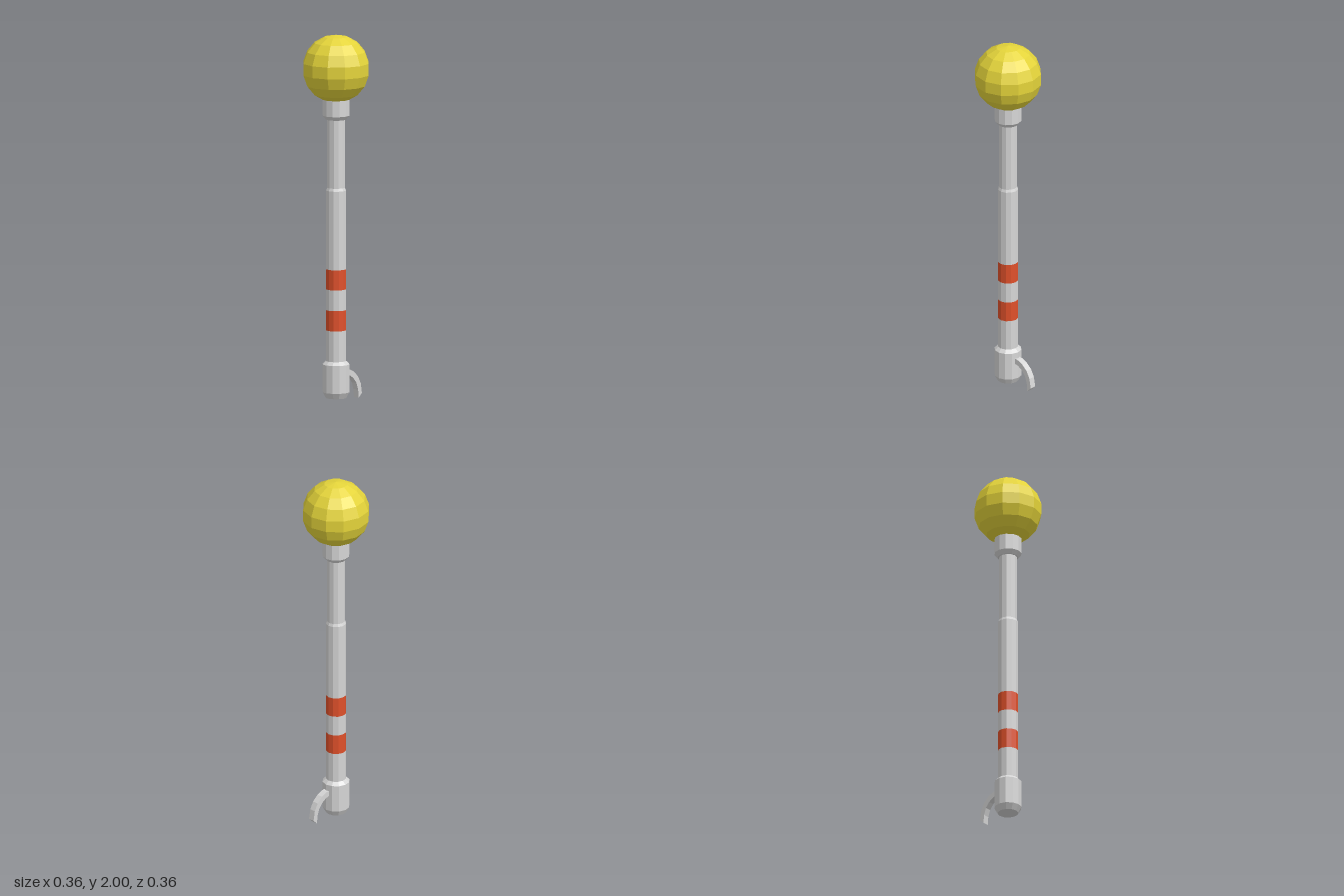
import * as THREE from 'three';

const SIDES = 12;

function paint(name, color) {
  const m = new THREE.MeshStandardMaterial({ color, flatShading: true });
  m.name = name;
  return m;
}

export function createModel() {
  const root = new THREE.Group();
  root.name = 'ballTopPole';
  const grey = paint('light grey', 0xd6d6d6);
  const orange = paint('orange red', 0xe0502a);
  const yellow = paint('yellow', 0xe4d43a);

  function add(name, geometry, material) {
    const mesh = new THREE.Mesh(geometry, material);
    mesh.name = name;
    root.add(mesh);
    return mesh;
  }

  // Twelve-sided turned part from [radius, height] pairs, bottom to top
  function turned(name, profile, material) {
    const points = profile.map(([r, y]) => new THREE.Vector2(r, y));
    return add(name, new THREE.LatheGeometry(points, SIDES), material);
  }

  // Foot with chamfered bottom and shoulder
  turned('foot', [[0, 0.016], [0.056, 0.016], [0.074, 0.048], [0.074, 0.2], [0.055, 0.218]], grey);

  // Lower tube, split into plain and painted bands
  const R = 0.055;
  const cuts = [0.21, 0.386, 0.497, 0.61, 0.72];
  for (let i = 0; i < cuts.length - 1; i++) {
    const painted = i % 2 === 1;
    turned(painted ? 'stripe' : 'lowerTube', [[R, cuts[i]], [R, cuts[i + 1]]], painted ? orange : grey);
  }

  // Upper tube with a small step to a thinner section
  turned('upperTube', [[R, 0.72], [R, 1.15], [0.049, 1.165], [0.049, 1.56]], grey);

  // Collar under the ball
  turned('collar', [[0.047, 1.538], [0.056, 1.538], [0.074, 1.56], [0.074, 1.68]], grey);

  // Ball
  add('ball', new THREE.SphereGeometry(0.185, SIDES, 9), yellow).position.y = 1.815;

  // Curved hook: a flat strip bending outwards and down
  const hook = new THREE.Shape([
    [0.05, 0.168], [0.085, 0.164], [0.12, 0.148], [0.152, 0.118], [0.173, 0.078], [0.182, 0.024],
    [0.157, 0], [0.153, 0.045], [0.14, 0.083], [0.118, 0.111], [0.09, 0.13], [0.05, 0.14],
  ].map(([r, y]) => new THREE.Vector2(r, y)));
  const width = 0.036;
  const strip = new THREE.ExtrudeGeometry(hook, { depth: width, bevelEnabled: false });
  strip.translate(0, 0, -width / 2);
  add('hook', strip, grey).rotation.y = Math.PI / 6;

  return root;
}
